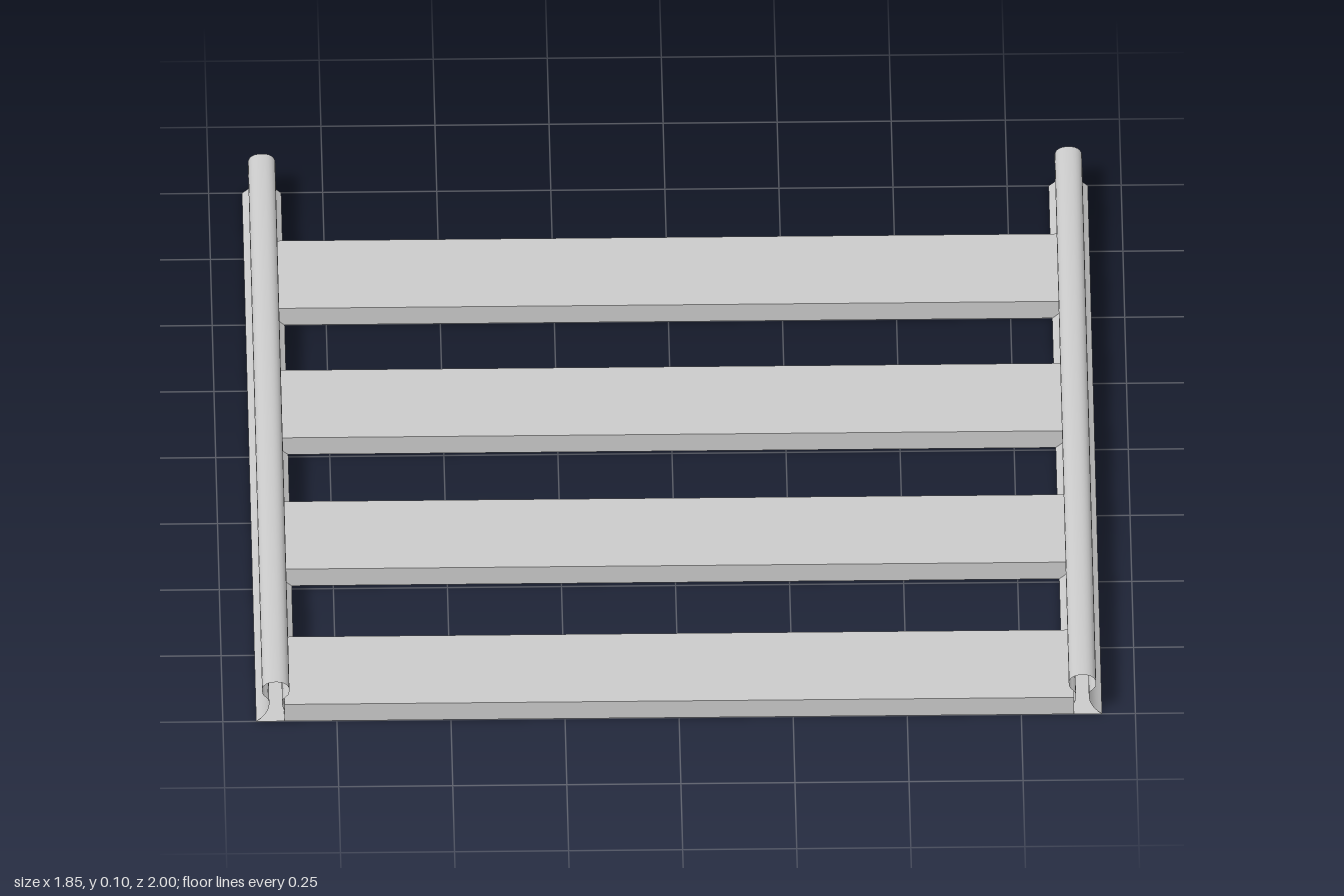
import * as THREE from 'three';

const LENGTH = 2;
const GAUGE = 0.884; // rail centre line, distance from x = 0

// Half of the rail section, from foot edge to crown
const HALF = [
  [0.043, 0], [0.03, 0.011], [0.019, 0.027], [0.014, 0.045], [0.017, 0.06],
  [0.027, 0.07], [0.03, 0.082], [0.026, 0.095], [0.015, 0.103], [0, 0.105],
];

function railSkin() {
  const mirrored = HALF.slice(0, -1).reverse().map(([x, y]) => [-x, y]);
  const points = [...HALF, ...mirrored].map(([x, y]) => new THREE.Vector3(x, y, 0));
  const curve = new THREE.CatmullRomCurve3(points);
  const geometry = new THREE.PlaneGeometry(1, LENGTH, 36, 1);
  const pos = geometry.attributes.position;
  for (let i = 0; i < pos.count; i++) {
    // Plane x runs round the section, plane y runs along the rail
    const p = curve.getPoint(THREE.MathUtils.clamp(pos.getX(i) + 0.5, 0, 1));
    pos.setXYZ(i, p.x, p.y, pos.getY(i));
  }
  geometry.computeVertexNormals();
  return geometry;
}

export function createModel() {
  const model = new THREE.Group();
  model.name = 'railTrack';
  const solid = new THREE.MeshStandardMaterial({ color: 0xcccccc });
  const open = new THREE.MeshStandardMaterial({ color: 0xcccccc, side: THREE.DoubleSide });

  // Rails: open-ended smooth skin with a flat underside
  const skin = railSkin();
  const base = new THREE.PlaneGeometry(2 * HALF[0][0], LENGTH).rotateX(Math.PI / 2);
  for (const [side, name] of [[1, 'leftRail'], [-1, 'rightRail']]) {
    const rail = new THREE.Group();
    rail.name = name;
    const body = new THREE.Mesh(skin, open);
    body.name = 'railBody';
    const foot = new THREE.Mesh(base, open);
    foot.name = 'railFoot';
    rail.add(body, foot);
    rail.position.x = side * GAUGE;
    model.add(rail);
  }

  // Sleepers: four flat planks, the last flush with the front end
  const plank = new THREE.BoxGeometry(1.73, 0.045, 0.256);
  [-0.627, -0.137, 0.36, 0.872].forEach((z, i) => {
    const sleeper = new THREE.Mesh(plank, solid);
    sleeper.name = `sleeper${i + 1}`;
    sleeper.position.set(0, 0.0225, z);
    model.add(sleeper);
  });

  return model;
}
